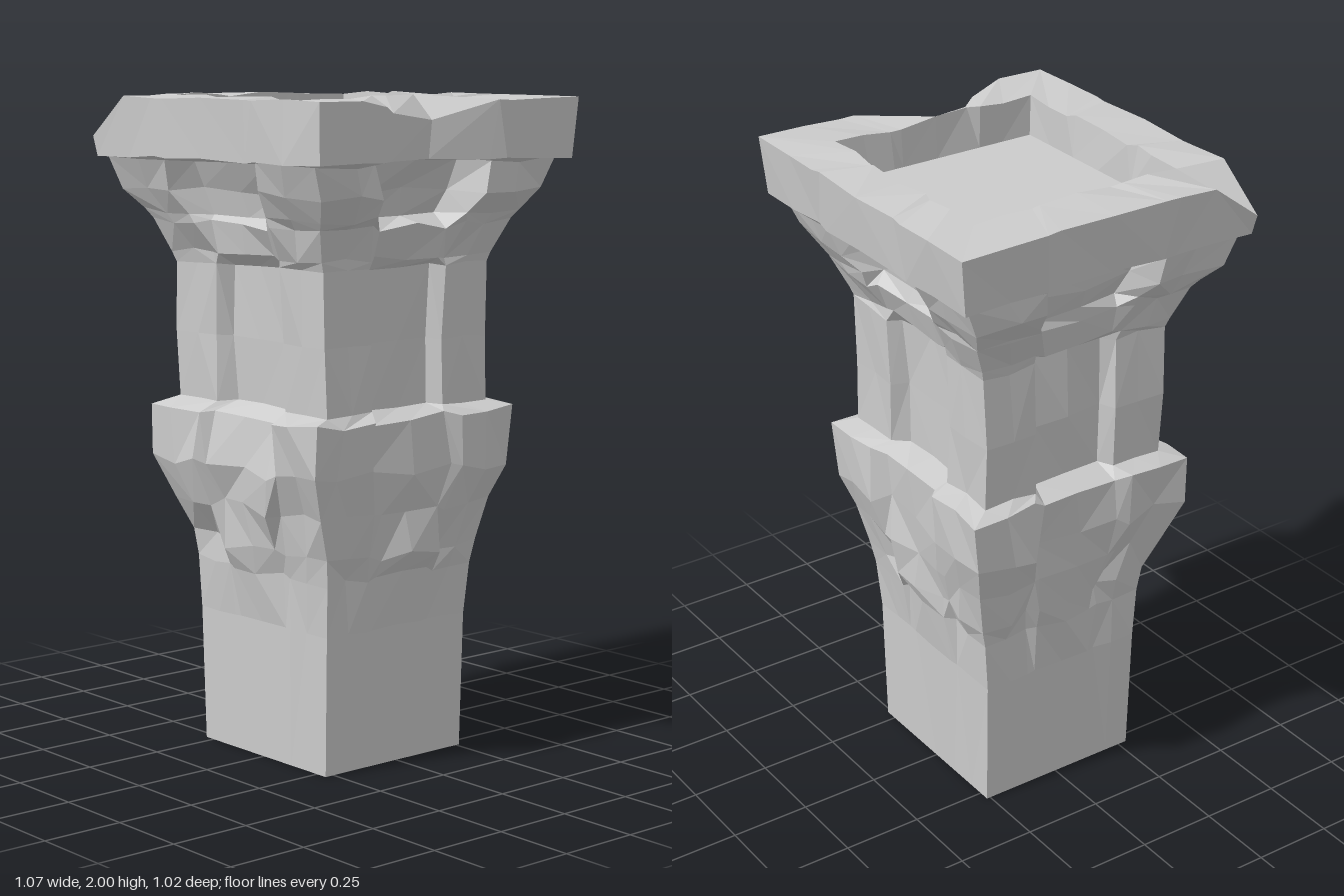
import * as THREE from 'three';

// Column positions along each side of the square section (-1..1)
const COLS = [-1, -0.7, -0.45, -0.36, 0, 0.36, 0.45, 0.7];

// Repeatable noise in -1..1, so that neighbouring parts share their seams
function noise(a, b, c) {
  const s = Math.sin(a * 12.99 + b * 78.23 + c * 37.72) * 43758.55;
  return 2 * (s - Math.floor(s)) - 1;
}

// Worn chips in the slab: right edge and front corner
function chip(p) {
  if (p.y < 1.79) return;
  if (p.x > 0.4) {
    const f = Math.max(0, 1 - Math.abs(p.z - 0.05) / 0.25);
    p.x -= 0.12 * f;
    if (p.y > 1.9) p.y -= 0.07 * f;
  }
  if (p.y > 1.9 && p.x < -0.48 && p.z > 0.45) p.y -= 0.12;
}

// Ring: y, x min, x max, z min, z max, roughness, and inward depth of the middle of each side
function ringPoints({ y, b: [x0, x1, z0, z1], rough = 0, deep = [0, 0, 0, 0] }) {
  const points = [];
  const cx = (x0 + x1) / 2, cz = (z0 + z1) / 2, hx = (x1 - x0) / 2, hz = (z1 - z0) / 2;
  for (let side = 0; side < 4; side++) {
    const angle = side * Math.PI / 2;
    COLS.forEach((u, i) => {
      const corner = i === 0;
      const n = noise(side + 1, i + 1, y);
      const inset = (Math.abs(u) <= 0.37 ? deep[side] : 0) + (corner ? 0 : rough * n);
      const along = u + (corner ? 0 : rough * 2 * noise(i + 2, y, side + 3));
      // Unit square: front, right, back, left
      const c = Math.round(Math.cos(angle)), s = Math.round(Math.sin(angle));
      const p = new THREE.Vector3(
        cx + hx * (along * c + s) - inset * s,
        y + (y > 0.1 ? rough * 0.8 * noise(y, side + 5, i) : 0),
        cz + hz * (c - along * s) - inset * c
      );
      chip(p);
      points.push(p);
    });
  }
  return points;
}

// Skin consecutive rings, splitting each quad along a varying diagonal
function loft(name, rings, material, { bottom = false, top = false } = {}) {
  const rows = rings.map(ringPoints);
  const out = [];
  const tri = (...ps) => ps.forEach(p => out.push(p.x, p.y, p.z));
  const n = rows[0].length;
  for (let j = 0; j < rows.length - 1; j++) {
    for (let i = 0; i < n; i++) {
      const k = (i + 1) % n;
      const a = rows[j][i], b = rows[j][k], c = rows[j + 1][k], d = rows[j + 1][i];
      if (noise(i, j, 4) > 0) { tri(a, b, c); tri(a, c, d); }
      else { tri(a, b, d); tri(b, c, d); }
    }
  }
  const cap = (row, flip) => {
    const mid = row.reduce((m, p) => m.add(p), new THREE.Vector3()).divideScalar(n);
    row.forEach((p, i) => {
      const q = row[(i + 1) % n];
      if (flip) tri(mid, q, p); else tri(mid, p, q);
    });
  };
  if (bottom) cap(rows[0], true);
  if (top) cap(rows[rows.length - 1], false);
  const geometry = new THREE.BufferGeometry();
  geometry.setAttribute('position', new THREE.Float32BufferAttribute(out, 3));
  geometry.computeVertexNormals();
  const mesh = new THREE.Mesh(geometry, material);
  mesh.name = name;
  return mesh;
}

export function createModel() {
  const group = new THREE.Group();
  group.name = 'stonePillar';
  const stone = new THREE.MeshStandardMaterial({ color: 0xcccccc, flatShading: true });
  const all = d => [d, d, d, d];

  // Rings shared between neighbouring parts
  const plinthTop = { y: 0.58, b: [-0.305, 0.31, -0.28, 0.29], rough: 0.012, deep: all(-0.01) };
  const shaftFoot = { y: 1.085, b: [-0.345, 0.35, -0.305, 0.325], rough: 0.006, deep: all(0.045) };
  const shaftHead = { y: 1.5, b: [-0.345, 0.345, -0.31, 0.335], rough: 0.01, deep: all(0.045) };
  const slabFoot = { y: 1.81, b: [-0.49, 0.48, -0.46, 0.48], rough: 0.012, deep: [0.08, 0.11, 0.08, 0.08] };

  // Plain square base
  group.add(loft('base', [
    { y: 0, b: [-0.285, 0.29, -0.262, 0.28] },
    { y: 0.42, b: [-0.3, 0.298, -0.268, 0.282], rough: 0.004 },
    plinthTop,
  ], stone, { bottom: true }));

  // Rough carved collar with a ledge
  group.add(loft('collar', [
    plinthTop,
    { y: 0.65, b: [-0.315, 0.32, -0.295, 0.3], rough: 0.022, deep: all(-0.02) },
    { y: 0.78, b: [-0.345, 0.345, -0.325, 0.345], rough: 0.022, deep: all(-0.005) },
    { y: 0.9, b: [-0.39, 0.385, -0.36, 0.4], rough: 0.025, deep: all(0.025) },
    { y: 1.06, b: [-0.393, 0.395, -0.375, 0.4], rough: 0.018, deep: [0.05, 0.03, 0.03, 0.03] },
    shaftFoot,
  ], stone));

  // Shaft with a sunken panel on each side
  group.add(loft('panelledShaft', [
    shaftFoot,
    { y: 1.28, b: [-0.355, 0.345, -0.305, 0.33], rough: 0.006, deep: all(0.045) },
    shaftHead,
  ], stone));

  // Flared capital with corner brackets and niches
  group.add(loft('capital', [
    shaftHead,
    { y: 1.53, b: [-0.355, 0.35, -0.32, 0.345], rough: 0.012, deep: all(0.005) },
    { y: 1.62, b: [-0.395, 0.39, -0.365, 0.385], rough: 0.015, deep: [0.02, 0.02, 0.02, 0.02] },
    { y: 1.65, b: [-0.42, 0.41, -0.38, 0.4], rough: 0.015, deep: [0.06, 0.1, 0.06, 0.06] },
    { y: 1.72, b: [-0.475, 0.46, -0.42, 0.44], rough: 0.018, deep: [0.09, 0.13, 0.09, 0.09] },
    slabFoot,
  ], stone));

  // Square slab with a sunken top
  group.add(loft('topSlab', [
    slabFoot,
    { y: 1.815, b: [-0.52, 0.525, -0.485, 0.5], rough: 0.006 },
    { y: 1.99, b: [-0.535, 0.53, -0.505, 0.505], rough: 0.006 },
    { y: 1.995, b: [-0.36, 0.355, -0.35, 0.345], rough: 0.01 },
    { y: 1.87, b: [-0.355, 0.345, -0.34, 0.335] },
  ], stone, { top: true }));

  return group;
}
